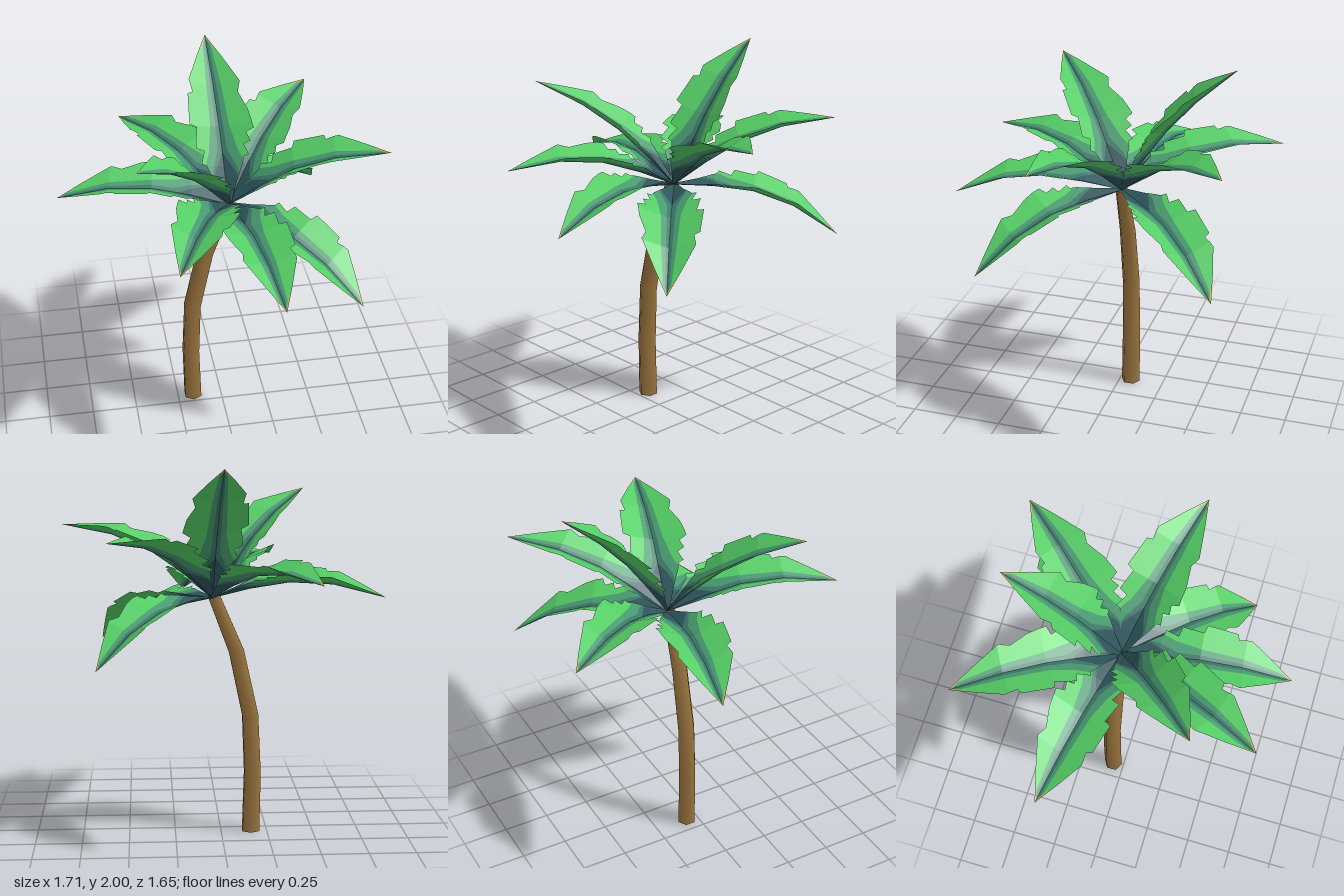
import * as THREE from 'three';

const mat = (name, color, side = THREE.FrontSide) => {
  const m = new THREE.MeshStandardMaterial({ color, side });
  m.name = name;
  return m;
};

// Piecewise linear lookup in a short list of [u, value] points
function lookup(points, u) {
  for (let i = 1; i < points.length; i++) {
    const [u0, v0] = points[i - 1], [u1, v1] = points[i];
    if (u <= u1) return v0 + (v1 - v0) * (u - u0) / (u1 - u0);
  }
  return points[points.length - 1][1];
}

// Ragged outlines: half width along the frond, right and left of the rib
const RIGHT = [[0, 0.015], [0.12, 0.06], [0.22, 0.105], [0.255, 0.115], [0.262, 0.142], [0.325, 0.12],
  [0.338, 0.16], [0.39, 0.142], [0.408, 0.186], [0.52, 0.168], [0.63, 0.128], [0.69, 0.147],
  [0.85, 0.074], [1, 0]];
const LEFT = [[0, 0.015], [0.12, 0.06], [0.2, 0.1], [0.225, 0.11], [0.235, 0.138], [0.31, 0.112],
  [0.325, 0.162], [0.45, 0.142], [0.465, 0.183], [0.645, 0.167], [0.655, 0.136], [0.73, 0.147],
  [0.87, 0.074], [1, 0]];

// Height of the rib along the frond, as a share of its arch
const ARCH = [[0, 0], [0.22, 0.58], [0.45, 0.97], [0.7, 0.83], [1, 0]];

// Outer limits of the colour bands, from the rib outwards; the last is the yellow margin at the tip
const BANDS = [
  [[0, 0.1], [0.16, 0.068], [0.22, 0.04], [0.3, 0], [1, 0]],
  [[0, 0.1], [0.2, 0.07], [0.32, 0.026], [0.95, 0.011], [0.985, 0]],
  [[0, 0.2], [0.2, 0.125], [0.3, 0.085], [0.45, 0.055], [0.7, 0.042], [0.94, 0.022], [0.985, 0]],
  [[0, 1], [0.915, 1], [0.92, 0.034], [0.985, 0]],
  [[0, 1], [1, 1]],
];
const STEPS = [...new Set([...RIGHT, ...LEFT, ...ARCH, ...BANDS.flat()].map(p => p[0]))]
  .sort((a, b) => a - b);

// One frond: an arched rib with a V fold, coloured in bands
function frondGeometry(base, tip, arch) {
  const along = tip.clone().sub(base);
  const side = along.clone().cross(new THREE.Vector3(0, 1, 0)).normalize();
  const up = side.clone().cross(along).normalize();
  const fold = 0.4;
  const point = (u, w, s) => base.clone()
    .addScaledVector(along, u)
    .addScaledVector(side, s * w * Math.cos(fold))
    .addScaledVector(up, arch * lookup(ARCH, u) + w * Math.sin(fold));
  const lists = BANDS.map(() => []);

  for (const [s, outline] of [[1, RIGHT], [-1, LEFT]]) {
    // band edges across the half blade at u, never decreasing
    const edges = u => BANDS.reduce((list, band) => {
      list.push(Math.max(list.at(-1), Math.min(lookup(band, u), lookup(outline, u))));
      return list;
    }, [0]);
    for (let i = 1; i < STEPS.length; i++) {
      const u0 = STEPS[i - 1], u1 = STEPS[i];
      const e0 = edges(u0), e1 = edges(u1);
      lists.forEach((list, k) => {
        const a = point(u0, e0[k], s), b = point(u0, e0[k + 1], s);
        const c = point(u1, e1[k + 1], s), d = point(u1, e1[k], s);
        const add = (p, q, r) => (s > 0 ? [p, q, r] : [p, r, q]).forEach(v => list.push(v.x, v.y, v.z));
        if (e0[k + 1] - e0[k] > 1e-5) add(a, b, c);
        if (e1[k + 1] - e1[k] > 1e-5) add(a, c, d);
      });
    }
  }
  const geo = new THREE.BufferGeometry();
  geo.setAttribute('position', new THREE.Float32BufferAttribute(lists.flat(), 3));
  let start = 0;
  lists.forEach((list, k) => {
    geo.addGroup(start, list.length / 3, k);
    start += list.length / 3;
  });
  geo.computeVertexNormals();
  return geo;
}

// Trunk: a six-sided cylinder whose rings follow a leaning curve
function trunkGeometry() {
  // x, y, radius, tilt of each ring
  const rings = [[-0.163, 0, 0.053, 0], [-0.171, 0.33, 0.051, 0], [-0.158, 0.65, 0.049, 0.12],
    [-0.083, 1.0, 0.045, 0.27], [0.036, 1.295, 0.034, 0.36]];
  const geo = new THREE.CylinderGeometry(1, 1, 4, 6, 4);
  const pos = geo.attributes.position, normal = geo.attributes.normal;
  const n = new THREE.Vector3(), axis = new THREE.Vector3(0, 0, 1);
  for (let i = 0; i < pos.count; i++) {
    const [x, y, r, tilt] = rings[Math.round(pos.getY(i) + 2)];
    const dx = pos.getX(i) * r;
    pos.setXYZ(i, x + dx, y - dx * tilt, -0.063 + pos.getZ(i) * r);
    n.fromBufferAttribute(normal, i).applyAxisAngle(axis, -Math.atan(tilt));
    normal.setXYZ(i, n.x, n.y, n.z);
  }
  return geo;
}

export function createModel() {
  const model = new THREE.Group();
  model.name = 'palmTree';

  const trunk = new THREE.Mesh(trunkGeometry(), mat('bark brown', 0x9a743e));
  trunk.name = 'trunk';
  model.add(trunk);

  const leafColours = [
    mat('dark teal', 0x2d555b, THREE.DoubleSide),
    mat('rib teal', 0x3b7868, THREE.DoubleSide),
    mat('mid green', 0x489a70, THREE.DoubleSide),
    mat('leaf green', 0x54cd65, THREE.DoubleSide),
    mat('tip yellow', 0xbdb04c, THREE.DoubleSide),
  ];

  // Frond tips with the height of each arch
  const fronds = [
    [-0.455, 1.45, -0.83, 0.09], [0.015, 2.0, -0.66, 0.045], [0.59, 1.65, -0.725, 0.08],
    [0.65, 1.02, -0.705, 0.095], [0.85, 1.665, 0.165, 0.085], [0.65, 0.98, 0.535, 0.095],
    [0.18, 1.22, 0.825, 0.09], [-0.33, 1.44, 0.75, 0.09], [-0.49, 1.84, 0.435, 0.06],
    [-0.855, 1.31, -0.25, 0.085],
  ];
  const crown = new THREE.Group();
  crown.name = 'crown';
  const base = new THREE.Vector3(0.045, 1.29, -0.07);
  fronds.forEach(([x, y, z, arch], i) => {
    const frond = new THREE.Mesh(frondGeometry(base, new THREE.Vector3(x, y, z), arch), leafColours);
    frond.name = `frond${i + 1}`;
    crown.add(frond);
  });
  model.add(crown);
  return model;
}
